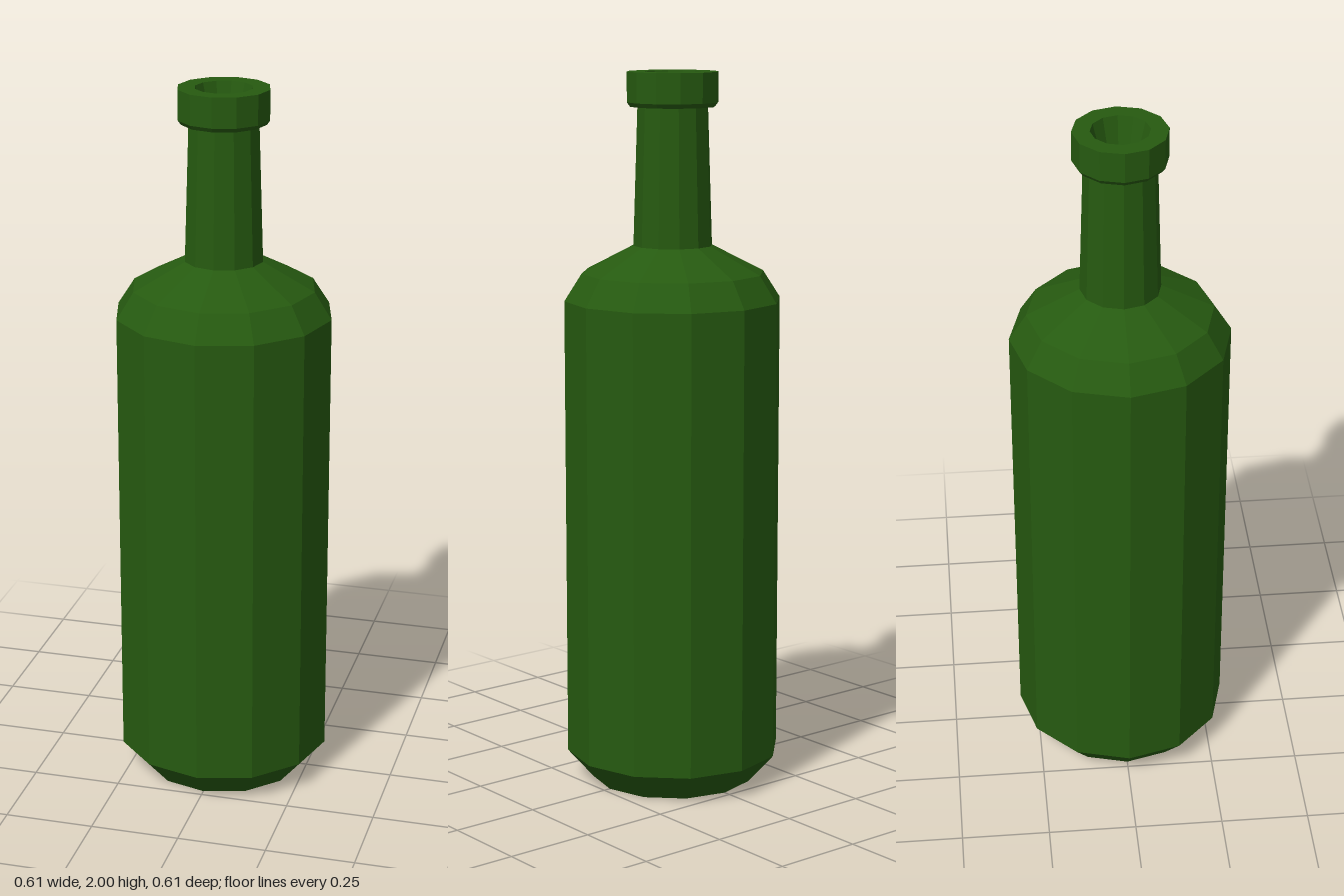
import * as THREE from 'three';

const SIDES = 12;

export function createModel() {
  const group = new THREE.Group();
  group.name = 'bottle';
  const glass = new THREE.MeshStandardMaterial({ color: 0x265a10, flatShading: true });

  // Turns a profile of [radius, height] pairs, listed from bottom to top
  const turn = (name, profile) => {
    const points = profile.map(([r, y]) => new THREE.Vector2(r, y));
    const mesh = new THREE.Mesh(new THREE.LatheGeometry(points, SIDES), glass);
    mesh.name = name;
    group.add(mesh);
  };

  // Body with bevelled base and two-step shoulder
  turn('body', [[0, 0], [0.23, 0], [0.303, 0.083], [0.303, 1.375], [0.255, 1.45], [0.11, 1.525]]);

  // Tapered neck
  turn('neck', [[0.11, 1.525], [0.098, 1.905]]);

  // Collar with a bevelled underside, flat rim and shallow tapered mouth
  turn('collar', [
    [0.098, 1.905], [0.118, 1.905], [0.127, 1.917], [0.127, 2],
    [0.079, 2], [0.055, 1.91], [0, 1.91],
  ]);

  return group;
}
